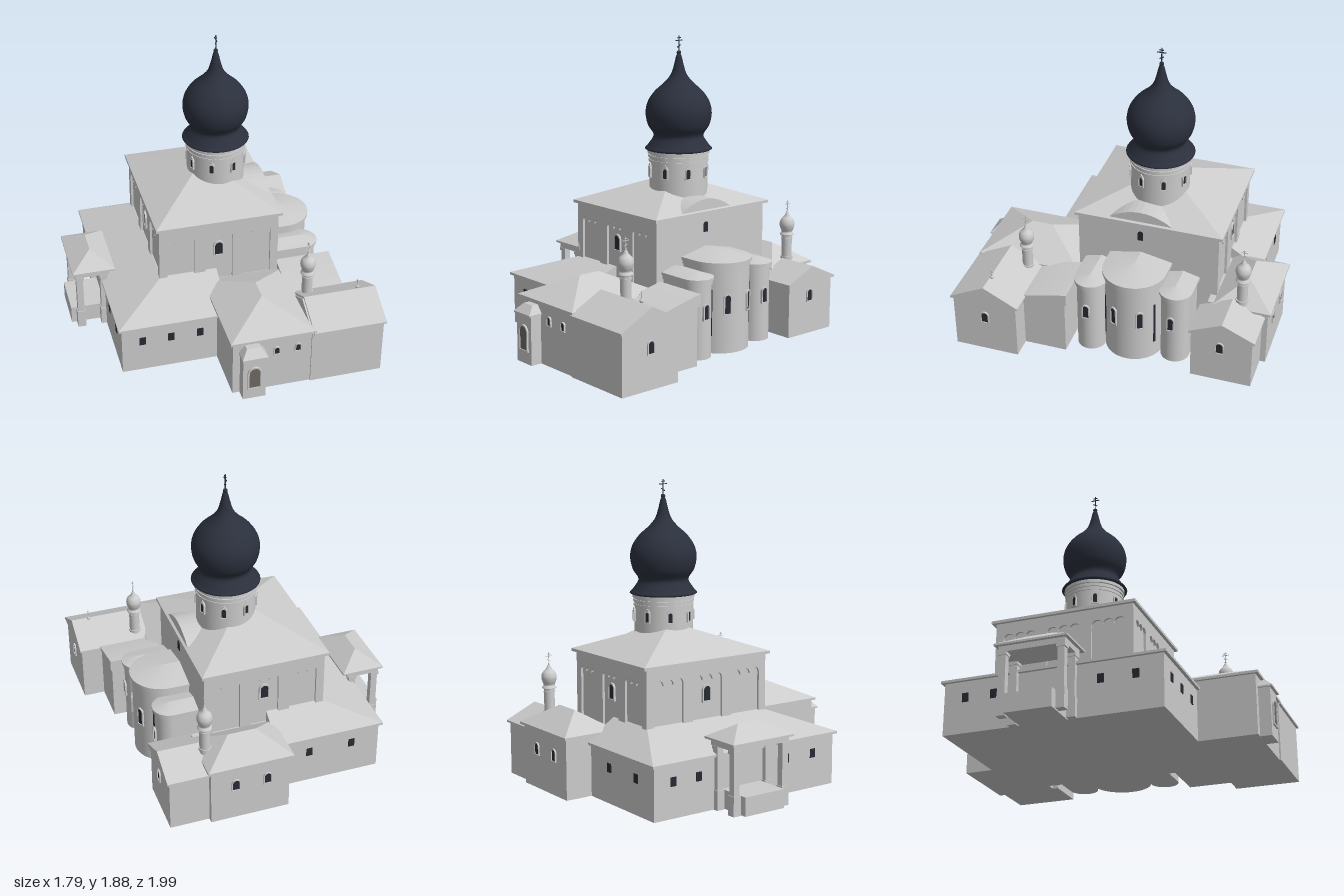
import * as THREE from 'three';
import { toCreasedNormals } from 'three/addons/utils/BufferGeometryUtils.js';

const mat = (color, side = THREE.FrontSide) => new THREE.MeshStandardMaterial({ color, side });
const stone = mat(0xcccccc), stoneBoth = mat(0xcccccc, THREE.DoubleSide);
const domeBlue = mat(0x2b303d, THREE.DoubleSide), glass = mat(0x262a31), doorWood = mat(0x6e6a62);

export function createModel() {
  const model = new THREE.Group();

  const add = (name, geo, x = 0, y = 0, z = 0, material = stone, parent = model) => {
    const m = new THREE.Mesh(geo, material);
    m.name = name;
    m.position.set(x, y, z);
    parent.add(m);
    return m;
  };
  const box = (name, x0, x1, y0, y1, z0, z1, material) =>
    add(name, new THREE.BoxGeometry(x1 - x0, y1 - y0, z1 - z0), (x0 + x1) / 2, (y0 + y1) / 2, (z0 + z1) / 2, material);

  // Skins a stack of rings (counter-clockwise from above) and caps both ends
  const loft = (name, rings, material = stone) => {
    const pos = [], n = rings[0].length;
    const tri = (a, b, c) => {
      const A = new THREE.Vector3(...a), B = new THREE.Vector3(...b), C = new THREE.Vector3(...c);
      if (B.sub(A).cross(C.sub(A)).length() > 1e-9) pos.push(...a, ...b, ...c);
    };
    for (let r = 0; r + 1 < rings.length; r++) {
      const lo = rings[r], hi = rings[r + 1];
      for (let i = 0; i < n; i++) {
        const j = (i + 1) % n;
        tri(lo[i], lo[j], hi[j]);
        tri(lo[i], hi[j], hi[i]);
      }
    }
    const top = rings[rings.length - 1], bottom = rings[0];
    for (let i = 1; i + 1 < n; i++) {
      tri(top[0], top[i], top[i + 1]);
      tri(bottom[0], bottom[i + 1], bottom[i]);
    }
    const g = new THREE.BufferGeometry();
    g.setAttribute('position', new THREE.Float32BufferAttribute(pos, 3));
    return add(name, toCreasedNormals(g, 0.3), 0, 0, 0, material);
  };
  const rect = (x0, x1, z0, z1, y) => [[x0, y, z0], [x0, y, z1], [x1, y, z1], [x1, y, z0]];
  // Roof: eave slab from a rectangle, rising to a smaller rectangle, ridge line or point
  const roof = (name, [x0, x1, z0, z1], y, [a0, a1, c0, c1], yTop, t = 0.018) =>
    loft(name, [rect(x0, x1, z0, z1, y), rect(x0, x1, z0, z1, y + t), rect(a0, a1, c0, c1, yTop)]);

  // Opening outline with a square, round or pointed head
  const outline = (w, h, head, grow = 0) => {
    const s = new THREE.Shape(), r = w / 2 + grow;
    s.moveTo(-r, -grow);
    s.lineTo(r, -grow);
    if (head === 'square') s.lineTo(r, h + grow).lineTo(-r, h + grow);
    else s.absarc(0, h - w / 2, r, 0, Math.PI, false);
    if (head === 'pointed' && grow) s.lineTo(-r, h - w / 2).lineTo(-r, -grow);
    s.closePath();
    return s;
  };
  const slab = (shape, depth) => new THREE.ExtrudeGeometry(shape, { depth, bevelEnabled: false, curveSegments: 10 });
  // Window set on a wall; yaw 0 faces +z, PI/2 faces +x
  const windowAt = (name, x, y, z, yaw, w, h, head = 'round', frame = 0, material = glass) => {
    const g = new THREE.Group();
    g.name = name;
    g.position.set(x, y, z);
    g.rotation.y = yaw;
    add('pane', slab(outline(w, h, head), 0.008), 0, 0, -0.004, material, g);
    if (frame) {
      const f = outline(w, h, head, frame);
      f.holes.push(new THREE.Path(outline(w, h, head).getPoints(10)));
      add('surround', slab(f, 0.016), 0, 0, -0.006, stone, g);
      if (head === 'pointed') {
        const p = new THREE.Shape([[-w / 2 - frame, h], [w / 2 + frame, h], [0, h + 0.025]].map(q => new THREE.Vector2(...q)));
        add('pointedHood', slab(p, 0.014), 0, 0, -0.006, stone, g);
      }
    }
    model.add(g);
  };
  const E = Math.PI / 2, N = Math.PI, W = -Math.PI / 2;

  const lathe = (name, pts, x, z, y, material = stoneBoth, s = 1) => {
    const curve = new THREE.SplineCurve(pts.map(p => new THREE.Vector2(p[0] * s, p[1] * s)));
    return add(name, new THREE.LatheGeometry(curve.getPoints(50), 40), x, y, z, material);
  };
  const cyl = (name, r, y0, y1, x, z, seg = 40) =>
    add(name, new THREE.CylinderGeometry(r, r, y1 - y0, seg), x, (y0 + y1) / 2, z);

  // Cross with three bars running along z
  const cross = (name, x, y, z, h, w, t, material) => {
    const g = new THREE.Group();
    g.name = name;
    g.position.set(x, y, z);
    add('post', new THREE.BoxGeometry(t, h, t), 0, h / 2, 0, material, g);
    add('mainBar', new THREE.BoxGeometry(t, t, w), 0, h * 0.7, 0, material, g);
    add('topBar', new THREE.BoxGeometry(t, t, w * 0.5), 0, h * 0.86, 0, material, g);
    add('slantedBar', new THREE.BoxGeometry(t, t, w * 0.55), 0, h * 0.35, 0, material, g).rotation.x = 0.5;
    model.add(g);
  };

  // Main block: recessed core with arcaded panels on three sides
  box('mainBlock', -0.355, 0.4, 0, 0.82, -0.625, 0.24);
  const arcade = (name, width, x, z, yaw) => {
    const s = new THREE.Shape([[-1, 0.3], [1, 0.3], [1, 0.81], [-1, 0.81]].map(([u, v]) => new THREE.Vector2(u * width / 2, v)));
    const edge = 0.05, pier = 0.07, bay = (width - 2 * edge - 2 * pier) / 3, r = bay / 6;
    for (let b = 0; b < 3; b++) {
      const u = -width / 2 + edge + b * (bay + pier), hole = new THREE.Path();
      hole.moveTo(u, 0.34);
      hole.lineTo(u + bay, 0.34);
      for (let k = 2; k >= 0; k--) hole.absarc(u + r * (2 * k + 1), 0.7, r - 0.001, 0, Math.PI, false);
      hole.closePath();
      s.holes.push(hole);
    }
    add(name, slab(s, 0.015), x, 0, z, stone).rotation.y = yaw;
  };
  arcade('southArcade', 0.77, 0.015, 0.24, 0);
  arcade('northArcade', 0.77, 0.015, -0.625, N);
  arcade('westArcade', 0.895, -0.355, -0.192, W);
  roof('mainRoof', [-0.39, 0.42, -0.665, 0.275], 0.81, [0.015, 0.015, -0.195, -0.195], 1.0);
  windowAt('southWindow', 0.015, 0.57, 0.242, 0, 0.05, 0.09, 'round', 0.01);
  windowAt('northWindow', 0.015, 0.57, -0.627, N, 0.05, 0.09, 'round', 0.01);
  windowAt('westWindow', -0.357, 0.57, -0.192, W, 0.05, 0.09, 'round', 0.01);
  windowAt('eastWindow', 0.4, 0.695, -0.145, E, 0.035, 0.065);

  // Curved dormer on the east roof slope
  const arch = new THREE.Shape();
  arch.moveTo(-0.195, 0.815);
  arch.lineTo(0.195, 0.815);
  arch.lineTo(0.195, 0.838);
  arch.quadraticCurveTo(0, 0.965, -0.195, 0.838);
  add('eastDormer', slab(arch, 0.2), 0.205, 0, -0.145).rotation.y = E;

  // Drum, great dome and cross
  const DX = 0.105, DZ = -0.18;
  cyl('drum', 0.183, 0.82, 1.18, DX, DZ, 48);
  for (const [y0, y1, r] of [[1.1, 1.112, 0.188], [1.125, 1.14, 0.19], [1.15, 1.18, 0.194]]) cyl('drumBand', r, y0, y1, DX, DZ, 48);
  for (let i = 0; i < 8; i++) {
    const a = (i + 0.5) * Math.PI / 4;
    windowAt('drumWindow', DX + Math.sin(a) * 0.183, 1.01, DZ + Math.cos(a) * 0.183, a, 0.026, 0.06, 'pointed', 0.008);
  }
  lathe('greatDome', [[0, 1.17], [0.198, 1.17], [0.19, 1.2], [0.16, 1.245], [0.16, 1.275], [0.192, 1.325], [0.207, 1.4], [0.193, 1.47], [0.15, 1.535],
    [0.09, 1.59], [0.05, 1.64], [0.03, 1.7], [0.015, 1.76], [0, 1.765]], DX, DZ, 0, domeBlue);
  add('domeBall', new THREE.SphereGeometry(0.014, 16, 12), DX, 1.775, DZ, domeBlue);
  cross('domeCross', DX, 1.78, DZ, 0.1, 0.055, 0.005, domeBlue);

  // Low gallery wrapping the main block
  box('gallery', -0.68, 0.4, 0, 0.33, -0.805, 0.545);
  roof('galleryRoof', [-0.7, 0, -0.825, 0.565], 0.32, [-0.36, 0, -0.63, 0.245], 0.46, 0.015);
  for (const x of [-0.55, -0.37, -0.185]) windowAt('gallerySouthWindow', x, 0.192, 0.545, 0, 0.04, 0.055, 'square');
  for (const x of [-0.5, -0.22]) windowAt('galleryNorthWindow', x, 0.192, -0.805, N, 0.04, 0.055, 'square');
  for (const z of [-0.67, -0.49, 0.17, 0.38]) windowAt('galleryWestWindow', -0.68, 0.192, z, W, 0.04, 0.055, 'square');

  // South chapel: hipped hall, gabled east end and lean-to
  box('southHall', -0.075, 0.43, 0, 0.385, 0.2, 0.905);
  roof('southHallRoof', [-0.092, 0.445, 0.25, 0.925], 0.375, [0.175, 0.175, 0.52, 0.66], 0.513, 0.015);
  loft('southEastEnd', [rect(0.42, 0.88, 0.505, 0.915, 0), rect(0.42, 0.88, 0.505, 0.915, 0.365), rect(0.42, 0.88, 0.705, 0.705, 0.475)]);
  roof('southEastRoof', [0.43, 0.893, 0.487, 0.93], 0.362, [0.43, 0.893, 0.705, 0.705], 0.487, 0.012);
  box('southLeanTo', 0.4, 0.745, 0, 0.375, 0.235, 0.51);
  roof('southLeanToRoof', [0.4, 0.757, 0.22, 0.51], 0.365, [0.4, 0.757, 0.22, 0.235], 0.44, 0.012);
  for (const x of [0.2, 0.335]) windowAt('southHallWindow', x, 0.255, 0.906, 0, 0.03, 0.048, 'round', 0.006);
  windowAt('southEastWindow', 0.88, 0.215, 0.71, E, 0.042, 0.072, 'round', 0.006);
  add('gableBall', new THREE.SphereGeometry(0.012, 12, 8), 0.78, 0.492, 0.69);
  cross('gableCross', 0.78, 0.49, 0.69, 0.06, 0.026, 0.004, stone);

  // North chapel: hipped hall and gabled east end
  box('northHall', -0.02, 0.475, 0, 0.385, -0.98, -0.6);
  roof('northHallRoof', [-0.042, 0.495, -1.0, -0.64], 0.375, [0.14, 0.315, -0.82, -0.82], 0.505, 0.015);
  loft('northEastEnd', [rect(0.46, 0.72, 0, 0, 0), rect(0.46, 0.72, 0, 0, 0.335), rect(0.46, 0.72, 0, 0, 0.425)].map((ring, k) =>
    ring.map(([x, y], i) => [x, y, k === 2 ? -0.757 : (i === 0 || i === 3 ? -0.945 : -0.565)])));
  roof('northEastRoof', [0.47, 0.735, -0.962, -0.55], 0.335, [0.47, 0.735, -0.757, -0.757], 0.44, 0.012);
  for (const x of [0.12, 0.32]) windowAt('northHallWindow', x, 0.215, -0.98, N, 0.042, 0.07, 'round', 0.006);
  windowAt('northEastWindow', 0.72, 0.215, -0.745, E, 0.042, 0.072, 'round', 0.006);

  // Small cupolas on the chapels
  for (const [x, z, y] of [[0.495, 0.57, 0.565], [0.455, -0.81, 0.585]]) {
    cyl('cupolaDrum', 0.033, 0.35, y + 0.01, x, z, 24);
    cyl('cupolaCollar', 0.039, y - 0.155, y - 0.14, x, z, 24);
    cyl('cupolaBand', 0.037, y - 0.025, y - 0.018, x, z, 24);
    lathe('cupolaOnion', [[0, 0], [0.042, 0], [0.041, 0.01], [0.034, 0.022], [0.043, 0.045], [0.048, 0.072], [0.04, 0.1], [0.02, 0.122], [0.008, 0.145], [0, 0.155]], x, z, y);
    add('cupolaBall', new THREE.SphereGeometry(0.006, 10, 8), x, y + 0.155, z);
    cross('cupolaCross', x, y + 0.15, z, 0.075, 0.045, 0.004, stone);
  }

  // East apses with fan-shaped roofs running back to the main wall
  const apse = (name, cx, cz, r, wallTop, peak) => {
    cyl(name + 'Wall', r, 0, wallTop, cx, cz, 48);
    box(name + 'Back', 0.38, cx, 0, wallTop, cz - r, cz + r);
    const ring = (rad, y) => {
      const pts = [[0.39, y, cz - rad], [0.39, y, cz + rad]];
      for (let i = 0; i <= 24; i++) {
        const a = i * Math.PI / 24;
        pts.push([cx + Math.sin(a) * rad, y, cz + Math.cos(a) * rad]);
      }
      return pts;
    };
    const R = r + 0.015;
    loft(name + 'Cornice', [ring(r + 0.007, wallTop - 0.03), ring(r + 0.007, wallTop)]);
    loft(name + 'Roof', [ring(R, wallTop - 0.005), ring(R, wallTop + 0.012), ring(0, peak)]);
  };
  apse('centralApse', 0.52, -0.148, 0.186, 0.555, 0.608);
  apse('southApse', 0.602, 0.11, 0.088, 0.485, 0.525);
  apse('northApse', 0.557, -0.422, 0.09, 0.485, 0.525);
  for (const s of [-1, 1]) {
    const a = E + s * 0.46;
    windowAt('centralApseWindow', 0.52 + Math.sin(a) * 0.186, 0.25, -0.148 + Math.cos(a) * 0.186, a, 0.036, 0.115, 'round', 0.008);
    const b = E + s * 1.0;
    windowAt('apseSlit', 0.52 + Math.sin(b) * 0.186, 0.11, -0.148 + Math.cos(b) * 0.186, b, 0.014, 0.29);
  }
  windowAt('southApseWindow', 0.69, 0.25, 0.115, E, 0.036, 0.09, 'round', 0.007);
  windowAt('northApseWindow', 0.647, 0.25, -0.415, E, 0.036, 0.09, 'round', 0.007);

  // West porch on four pillars
  box('westPorchBase', -0.9, -0.67, 0, 0.115, -0.32, -0.03);
  for (const x of [-0.842, -0.688]) for (const z of [-0.355, 0.005]) {
    box('porchPillar', x - 0.021, x + 0.021, 0, 0.4, z - 0.021, z + 0.021);
    box('pillarFoot', x - 0.026, x + 0.026, 0, 0.12, z - 0.026, z + 0.026);
    box('pillarCapital', x - 0.027, x + 0.027, 0.365, 0.385, z - 0.027, z + 0.027);
  }
  box('westPorchBeam', -0.865, -0.65, 0.385, 0.425, -0.38, 0.03);
  roof('westPorchRoof', [-0.888, -0.615, -0.4, 0.05], 0.42, [-0.75, -0.75, -0.26, -0.095], 0.512, 0.012);

  // South door porch
  box('southPorch', -0.03, 0.113, 0, 0.305, 0.88, 0.977);
  roof('southPorchRoof', [-0.038, 0.122, 0.88, 0.993], 0.3, [0, 0.084, 0.88, 0.945], 0.357, 0.01);
  windowAt('southDoor', 0.042, 0.085, 0.978, 0, 0.068, 0.145, 'round', 0.01, doorWood);

  return model;
}
